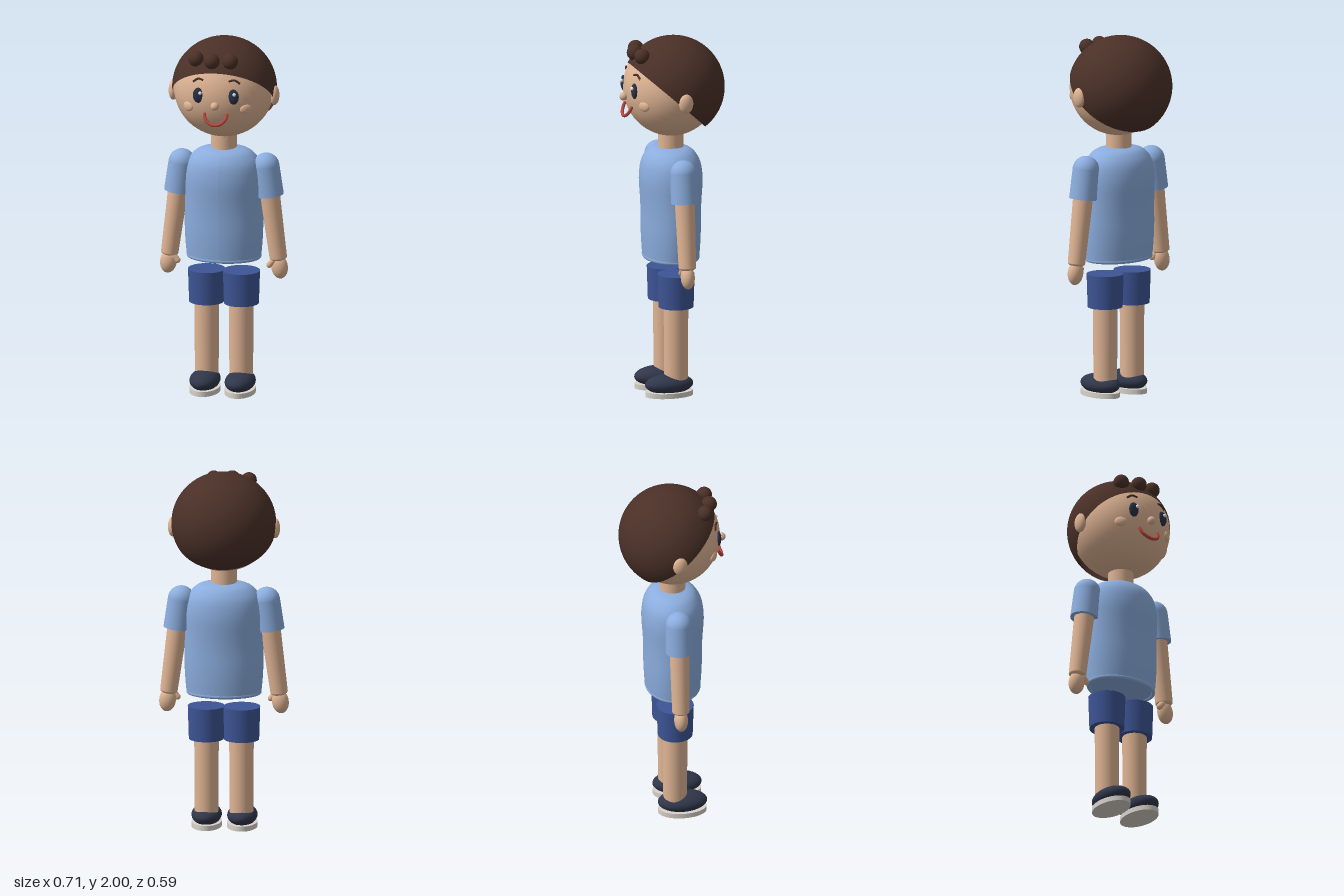
import * as THREE from 'three';

const mat = (name, color, side = THREE.FrontSide) => {
  const m = new THREE.MeshStandardMaterial({ color, side });
  m.name = name;
  return m;
};

export function createModel() {
  const skin = mat('skin', 0xdfb494);
  const hair = mat('brown hair', 0x4a3027, THREE.DoubleSide);
  const shirtBlue = mat('shirt blue', 0x8badde);
  const shortsBlue = mat('shorts blue', 0x3d5596);
  const shoeNavy = mat('shoe navy', 0x30374b);
  const soleGrey = mat('sole grey', 0xd8d2ca);
  const eyeDark = mat('eye dark', 0x283044);
  const white = mat('white', 0xffffff);
  const red = mat('mouth red', 0xb8483e);

  const model = new THREE.Group();
  model.name = 'boy';

  const add = (name, geo, material, pos = [0, 0, 0], parent = model) => {
    const mesh = new THREE.Mesh(geo, material);
    mesh.name = name;
    mesh.position.set(...pos);
    parent.add(mesh);
    return mesh;
  };
  const ellipsoid = (rx, ry, rz) => new THREE.SphereGeometry(1, 40, 28).scale(rx, ry, rz);
  const cylinder = (rTop, rBottom, h) => new THREE.CylinderGeometry(rTop, rBottom, h, 40);

  // Head, neck and nose
  add('head', ellipsoid(0.275, 0.27, 0.26), skin, [0, 1.72, 0]);
  add('neck', cylinder(0.07, 0.07, 0.16), skin, [0, 1.43, 0]);
  add('nose', new THREE.SphereGeometry(0.023, 24, 16), skin, [0, 1.685, 0.271]);

  // Hair cap: a dome tipped backwards, with three curls on the fringe
  const cap = new THREE.SphereGeometry(1, 64, 36, 0, Math.PI * 2, 0, Math.PI * 0.567);
  cap.rotateX(-0.733).scale(0.287, 0.281, 0.281);
  add('hairCap', cap, hair, [0, 1.72, -0.015]);
  for (const [x, z] of [[-0.125, 0.162], [-0.03, 0.198], [0.07, 0.186]]) {
    add('hairCurl', new THREE.SphereGeometry(0.043, 28, 20), hair, [x, 1.92, z]);
  }

  // Smile: half ring leaning forward at the bottom
  const smile = new THREE.TorusGeometry(0.062, 0.009, 12, 32, Math.PI);
  smile.rotateZ(Math.PI).rotateX(-0.46);
  add('mouth', smile, red, [0, 1.633, 0.244]);
  for (const s of [-1, 1]) {
    add('mouthCorner', new THREE.SphereGeometry(0.009, 12, 8), red, [s * 0.062, 1.633, 0.244]);
  }

  // Torso: turned profile, flattened front to back and a little deeper at the chest
  const profile = new THREE.SplineCurve([
    [0.205, 0.765], [0.213, 0.85], [0.217, 0.95], [0.215, 1.1], [0.215, 1.22],
    [0.2, 1.3], [0.165, 1.35], [0.125, 1.374], [0.07, 1.385],
  ].map(([r, y]) => new THREE.Vector2(r, y))).getPoints(40);
  const torso = new THREE.LatheGeometry(profile, 56);
  const p = torso.attributes.position;
  for (let i = 0; i < p.count; i++) {
    p.setZ(i, p.getZ(i) * (0.735 + 0.055 * THREE.MathUtils.smoothstep(p.getY(i), 0.98, 1.22)));
  }
  torso.computeVertexNormals();
  add('shirt', torso, shirtBlue);
  add('shirtUnderside', cylinder(0.205, 0.205, 0.01).scale(1, 1, 0.735), shirtBlue, [0, 0.77, 0]);
  add('shirtCollar', cylinder(0.07, 0.075, 0.01).scale(1, 1, 0.85), shirtBlue, [0, 1.38, 0]);
  const hem = new THREE.TorusGeometry(0.195, 0.012, 12, 56).rotateX(Math.PI / 2).scale(1, 1, 0.74);
  add('shirtHem', hem, shirtBlue, [0, 0.768, 0]);

  for (const s of [1, -1]) {
    const side = s > 0 ? 'left' : 'right';

    // Face details
    add(side + 'Ear', ellipsoid(0.026, 0.055, 0.04), skin, [s * 0.282, 1.69, 0]);
    add(side + 'Eye', ellipsoid(0.031, 0.043, 0.016), eyeDark, [s * 0.097, 1.735, 0.239]);
    add(side + 'EyeGlint', new THREE.SphereGeometry(0.01, 16, 12), white, [s * 0.095 + 0.01, 1.752, 0.255]);
    const brow = new THREE.CatmullRomCurve3([[0.07, 1.82, 0.233], [0.1, 1.826, 0.224], [0.13, 1.806, 0.216]]
      .map(([x, y, z]) => new THREE.Vector3(s * x, y, z)));
    add(side + 'Eyebrow', new THREE.TubeGeometry(brow, 16, 0.006, 8), hair);
    const cheek = add(side + 'Cheek', ellipsoid(0.034, 0.028, 0.014), skin, [s * 0.16, 1.66, 0.202]);
    cheek.rotation.y = s * 0.62;

    // Arm hangs from the shoulder, swung slightly outwards
    const arm = new THREE.Group();
    arm.name = side + 'Arm';
    arm.position.set(s * 0.235, 1.285, 0);
    arm.rotation.z = s * 0.13;
    model.add(arm);
    add('shoulder', new THREE.SphereGeometry(0.073, 36, 24), shirtBlue, [0, 0, 0], arm);
    add('sleeve', cylinder(0.073, 0.076, 0.165), shirtBlue, [0, -0.0825, 0], arm);
    add('forearm', cylinder(0.056, 0.048, 0.41), skin, [0, -0.315, 0], arm);
    add('wrist', new THREE.SphereGeometry(0.048, 28, 18).scale(1, 0.4, 1), skin, [0, -0.52, 0], arm);
    add('hand', ellipsoid(0.046, 0.066, 0.038), skin, [0, -0.575, 0], arm);
    const thumb = add('thumb', new THREE.CapsuleGeometry(0.017, 0.03, 8, 16), skin, [s * -0.04, -0.545, 0.018], arm);
    thumb.rotation.z = s * -0.85;

    // Leg, shorts and shoe
    add(side + 'ShortsLeg', cylinder(0.102, 0.096, 0.185), shortsBlue, [s * 0.097, 0.5925, 0]);
    add(side + 'Leg', cylinder(0.068, 0.065, 0.48), skin, [s * 0.096, 0.32, 0]);
    add(side + 'Shoe', ellipsoid(0.083, 0.055, 0.136), shoeNavy, [s * 0.098, 0.065, 0.04]);
    add(side + 'Sole', cylinder(1, 1, 0.028).scale(0.083, 1, 0.134), soleGrey, [s * 0.098, 0.014, 0.04]);
  }
  return model;
}
